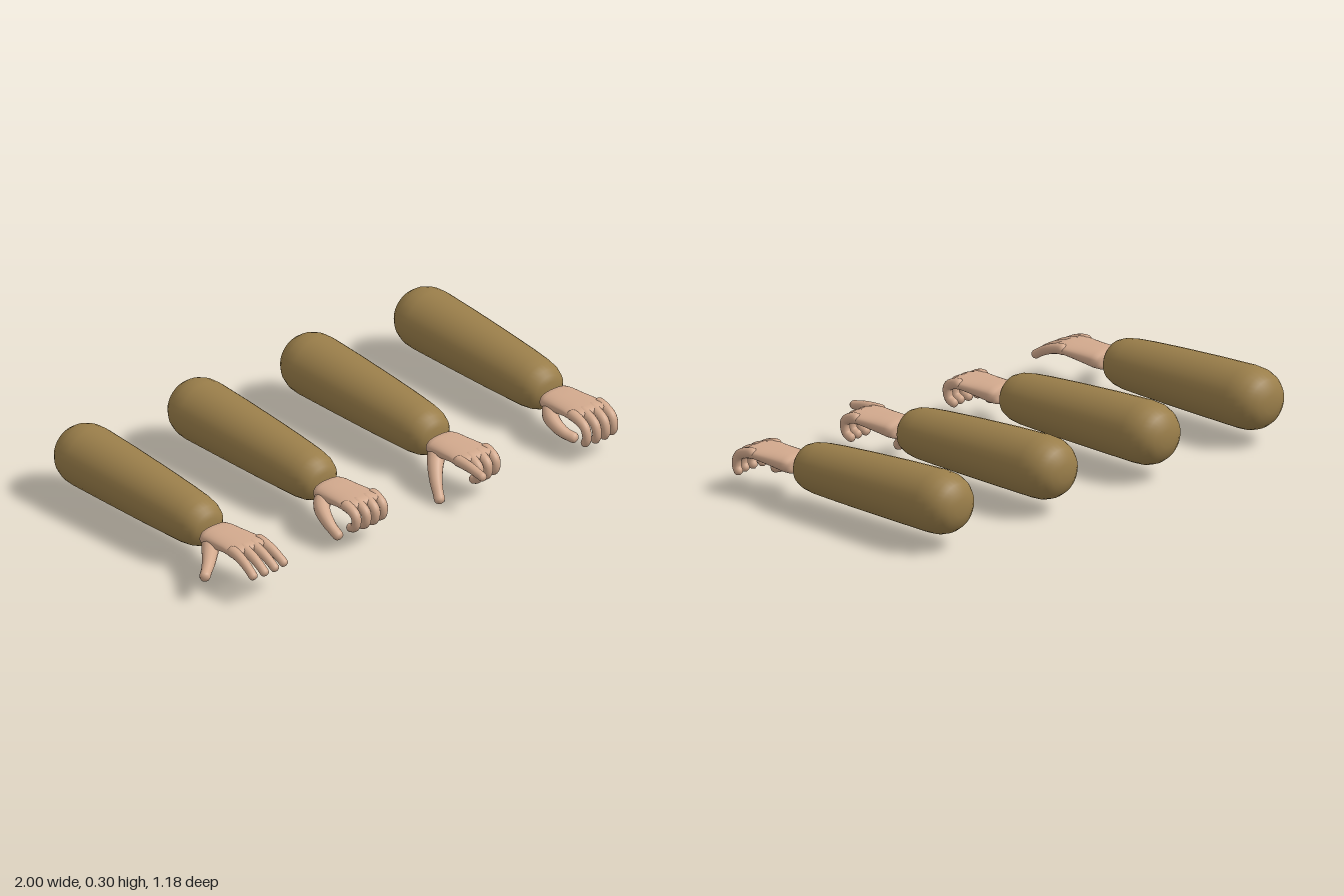
import * as THREE from 'three';
import { mergeVertices } from 'three/addons/utils/BufferGeometryUtils.js';

const sleeveMat = new THREE.MeshStandardMaterial({ name: 'olive brown sleeve', color: 0x9a7e4a });
const skinMat = new THREE.MeshStandardMaterial({ name: 'skin', color: 0xd2a98d });

// Welds seams and recomputes smooth normals
function smooth(geometry) {
  geometry.deleteAttribute('uv');
  geometry.deleteAttribute('normal');
  const welded = mergeVertices(geometry, 1e-5);
  welded.computeVertexNormals();
  return welded;
}

function mesh(name, geometry, material) {
  const m = new THREE.Mesh(geometry, material);
  m.name = name;
  return m;
}

// Skin along z through sections [z, centre x, half width, centre y, half height]
function loft(sections, power = 1) {
  const g = new THREE.LatheGeometry(sections.map((_, i) => new THREE.Vector2(1, i)), 32);
  g.rotateX(Math.PI / 2);
  const p = g.attributes.position;
  const bend = (v) => Math.sign(v) * Math.abs(v) ** power;
  for (let i = 0; i < p.count; i++) {
    const [z, cx, w, cy, h] = sections[Math.round(p.getZ(i))];
    p.setXYZ(i, cx + w * bend(p.getX(i)), cy + h * bend(p.getY(i)), z);
  }
  return smooth(g);
}

// Tapered tube with a rounded tip
function digit(points, r0, r1) {
  const curve = new THREE.CatmullRomCurve3(points.map((q) => new THREE.Vector3(...q)));
  const n = 32, sides = 14;
  const g = new THREE.TubeGeometry(curve, n, 1, sides);
  const p = g.attributes.position, v = new THREE.Vector3();
  const cap = r1 / curve.getLength();
  for (let i = 0; i <= n; i++) {
    const t = i / n, c = curve.getPointAt(t);
    const tip = Math.max(0, (t - 1 + cap) / cap);
    const back = Math.max(0, 1 - t / 0.12);
    const r = (r0 + (r1 - r0) * Math.min(1, t * 1.25)) *
      Math.sqrt(Math.max(0, 1 - tip * tip)) * Math.sqrt(Math.max(0, 1 - back * back));
    for (let j = 0; j <= sides; j++) {
      const k = i * (sides + 1) + j;
      v.fromBufferAttribute(p, k).sub(c).multiplyScalar(r).add(c);
      p.setXYZ(k, v.x, v.y, v.z);
    }
  }
  return smooth(g);
}

// Finger joints: segments of [length, downward angle in degrees] from the knuckle
function fingerPoints(x, spread, segments, shift) {
  let y = 0.167, z = 0.45 + shift, px = x;
  const points = [[x, y, z - 0.035], [x, y, z]];
  for (const [length, degrees] of segments) {
    const a = degrees * Math.PI / 180;
    px += spread / segments.length;
    y -= length * Math.sin(a);
    z += length * Math.cos(a);
    points.push([px, y, z]);
  }
  return points;
}

const OPEN = [[0.05, 14], [0.045, 25], [0.045, 32]];
const POINT = [[0.05, 2], [0.045, 8], [0.042, 10]];
const FIST = [[0.045, 28], [0.045, 95], [0.045, 155]];
const RELAXED = [[0.06, 22], [0.045, 75], [0.038, 120]];

const poses = [
  { name: 'openHand', x: -0.79, fingers: [OPEN, OPEN, OPEN, OPEN], spread: 0.012,
    thumb: [[-0.035, 0.14, 0.275], [-0.085, 0.128, 0.325], [-0.14, 0.117, 0.38], [-0.208, 0.098, 0.435]] },
  { name: 'fistHand', x: -0.235, fingers: [FIST, FIST, FIST, FIST], spread: 0,
    thumb: [[-0.035, 0.14, 0.275], [-0.09, 0.125, 0.32], [-0.116, 0.095, 0.39], [-0.115, 0.055, 0.46]] },
  { name: 'pointingHand', x: 0.315, fingers: [POINT, FIST, FIST, FIST], spread: 0,
    thumb: [[-0.035, 0.14, 0.275], [-0.085, 0.115, 0.32], [-0.12, 0.07, 0.365], [-0.145, 0.005, 0.42]] },
  { name: 'relaxedHand', x: 0.87, fingers: [RELAXED, RELAXED, RELAXED, RELAXED], spread: 0,
    thumb: [[-0.035, 0.14, 0.275], [-0.082, 0.118, 0.33], [-0.085, 0.09, 0.4], [-0.062, 0.072, 0.46]] },
];

// Rounded sleeve that narrows toward the wrist: [z, radius, centre y]
const sleeve = loft([
  [-0.592, 0, 0.176], [-0.59, 0.035, 0.176], [-0.582, 0.065, 0.176], [-0.565, 0.09, 0.177],
  [-0.54, 0.108, 0.177], [-0.505, 0.12, 0.177], [-0.46, 0.123, 0.177], [-0.3, 0.119, 0.174],
  [-0.1, 0.112, 0.169], [0.05, 0.105, 0.165], [0.13, 0.1, 0.162], [0.175, 0.093, 0.161],
  [0.205, 0.081, 0.16], [0.222, 0.063, 0.16], [0.231, 0.04, 0.16], [0.234, 0, 0.16],
].map(([z, r, y]) => [z, 0, r * 1.01, y, r * 0.99]));

// Flattened palm from wrist to knuckles
const palm = loft([
  [0.245, -0.004, 0, 0.152, 0], [0.246, -0.004, 0.055, 0.152, 0.025], [0.255, -0.004, 0.072, 0.152, 0.034],
  [0.28, -0.005, 0.078, 0.154, 0.036], [0.33, -0.003, 0.079, 0.158, 0.032], [0.39, 0, 0.083, 0.163, 0.026],
  [0.44, 0, 0.088, 0.166, 0.023], [0.46, 0, 0.086, 0.166, 0.02], [0.47, 0, 0.076, 0.166, 0.013],
  [0.473, 0, 0, 0.166, 0],
], 0.8);

export function createModel() {
  const model = new THREE.Group();
  model.name = 'armPoses';
  for (const pose of poses) {
    const arm = new THREE.Group();
    arm.name = pose.name + 'Arm';
    arm.position.x = pose.x;
    arm.add(mesh('sleeve', sleeve, sleeveMat));

    const hand = new THREE.Group();
    hand.name = pose.name;
    hand.add(mesh('palm', palm, skinMat));
    hand.add(mesh('thumb', digit(pose.thumb, 0.038, 0.021), skinMat));
    // Four fingers from index to little
    ['indexFinger', 'middleFinger', 'ringFinger', 'littleFinger'].forEach((name, i) => {
      const x = -0.068 + i * 0.0455;
      const spread = (i - 1.5) * pose.spread * 0.6;
      const shift = [0, 0.004, 0.002, -0.008][i];
      hand.add(mesh(name, digit(fingerPoints(x, spread, pose.fingers[i], shift), 0.0225, 0.0175), skinMat));
    });
    arm.add(hand);
    model.add(arm);
  }
  return model;
}
